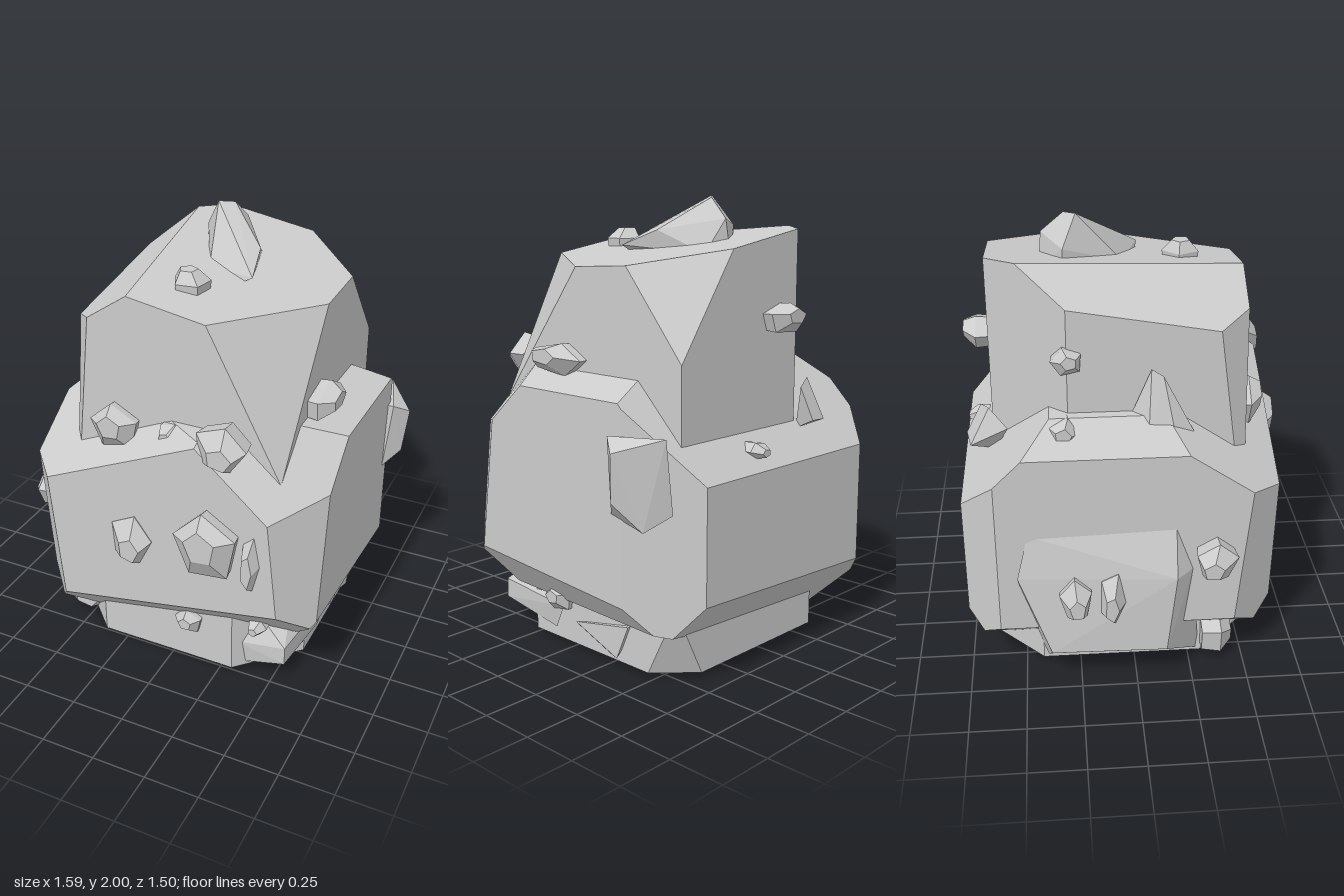
import * as THREE from 'three';
import { ConvexGeometry } from 'three/addons/geometries/ConvexGeometry.js';

const material = new THREE.MeshStandardMaterial({ color: 0xcccccc, flatShading: true });

// Faceted rock spanned by a few corner points
function rock(name, corners) {
  const mesh = new THREE.Mesh(new ConvexGeometry(corners), material);
  mesh.name = name;
  return mesh;
}

// Box with its corners sliced off by planes a*x + b*y + c*z <= d
function cutBox(name, min, max, cuts) {
  const planes = cuts.map(([a, b, c, d]) => ({ n: new THREE.Vector3(a, b, c), d }));
  for (let k = 0; k < 3; k++) {
    planes.push({ n: new THREE.Vector3().setComponent(k, 1), d: max[k] });
    planes.push({ n: new THREE.Vector3().setComponent(k, -1), d: -min[k] });
  }
  const corners = [];
  const m = new THREE.Matrix3();
  for (let i = 0; i < planes.length; i++) {
    for (let j = i + 1; j < planes.length; j++) {
      for (let k = j + 1; k < planes.length; k++) {
        const [p, q, r] = [planes[i], planes[j], planes[k]];
        m.set(...p.n, ...q.n, ...r.n);
        if (Math.abs(m.determinant()) < 1e-4) continue;
        const point = new THREE.Vector3(p.d, q.d, r.d).applyMatrix3(m.invert());
        const inside = planes.every(({ n, d }) => n.dot(point) <= d + 1e-4);
        if (inside && corners.every(c => c.distanceTo(point) > 0.01)) corners.push(point);
      }
    }
  }
  return rock(name, corners);
}

// Small seeded generator for chip irregularity
function seeded(seed) {
  let s = seed * 7919 + 17;
  return () => (s = (s * 16807) % 2147483647) / 2147483647;
}

// Five-sided tapered chip: centre (u, v) and size (w, h) across the axis, tip at out
function chip(name, axis, [u, v, w, h, out], seed) {
  const rand = seeded(seed + 3);
  rand();
  const [uAxis, vAxis] = [[2, 1], [0, 2], [0, 1]][axis];
  const depth = 0.08 + 0.25 * Math.max(w, h);
  const turn = rand() * Math.PI;
  const leanU = (rand() - 0.5) * 0.25 * w;
  const leanV = (rand() - 0.5) * 0.25 * h;
  const points = [];
  for (const [sunk, radius, lean] of [[1, 0.47, 0], [0.4, 0.53, 0], [0, 0.26, 1]]) {
    for (let i = 0; i < 5; i++) {
      const a = turn + (i / 5) * Math.PI * 2;
      points.push(new THREE.Vector3()
        .setComponent(axis, out - Math.sign(out) * depth * sunk)
        .setComponent(uAxis, u + w * radius * Math.cos(a) + leanU * lean)
        .setComponent(vAxis, v + h * radius * Math.sin(a) + leanV * lean));
    }
  }
  return rock(name, points);
}

export function createModel() {
  const model = new THREE.Group();
  model.name = 'rockStack';
  const vec = (x, y, z) => new THREE.Vector3(x, y, z);

  // Thin foot
  model.add(rock('foot', [0, 0.04].flatMap(y => [
    vec(0.33, y, 0.31), vec(0.33, y, -0.33), vec(-0.1, y, -0.45), vec(-0.48, y, -0.4), vec(-0.53, y, 0),
  ])));

  // Base boulder with cut corners, and the slab bulging from it towards -x
  model.add(cutBox('baseBoulder', [-0.56, 0.02, -0.63], [0.57, 0.4, 0.51], [
    [1, 0, 1, 0.82], [-1, 0, 1, 0.87], [1, -0.5, -1, 1.03], [-1, 0, -1, 0.98],
  ]));
  model.add(rock('baseSlab', [
    vec(-0.54, 0.02, 0.3), vec(-0.54, 0.02, -0.4),
    vec(-0.75, 0.19, 0.13), vec(-0.74, 0.19, -0.38), vec(-0.75, 0.57, 0.17), vec(-0.7, 0.57, -0.52),
    vec(-0.67, 0.57, 0.25), vec(-0.67, 0.79, 0.17), vec(-0.67, 0.77, -0.47),
    vec(-0.3, 0.02, 0.3), vec(-0.3, 0.77, 0.1), vec(-0.3, 0.1, -0.5),
  ]));

  // Wide middle boulder
  model.add(cutBox('middleBoulder', [-0.675, 0.06, -0.75], [0.7, 1.26, 0.63], [
    // underside
    [0.19, -0.99, 1, 0.256], [1, -0.71, 0.05, 0.44], [0.16, -1, 0, -0.13],
    [0.04, -0.8, -1, 0.475], [-1, -1.2, 0, 0.334],
    // upright corners
    [-1, -0.08, 0.92, 1.057], [1, 0.11, 0.75, 1.096], [1, 0, -0.6, 0.97], [-1, 0, -0.86, 1.195],
    // sloping ledges
    [-0.45, 1, 0.69, 1.592], [0.875, 1, 0.875, 1.956], [0.35, 1, 0, 1.435],
    [0, 1, -1, 1.62], [-0.9, 1, 0, 1.743],
  ]));

  // Upper boulder: tilted top, slanted -x side, four cut corners
  model.add(cutBox('topBoulder', [-0.49, 0.95, -0.61], [0.52, 1.87, 0.49], [
    [0.165, 1, 0.054, 1.787], [-0.676, 1, 0.175, 2.004],
    [1, 0.522, 0.68, 1.412], [1, 0.696, -0.84, 1.965],
    [-1, 0.113, 0.82, 0.967], [-1, 0, -0.82, 0.72],
  ]));

  // Leaning peak stone
  model.add(rock('peakStone', [
    vec(-0.18, 1.8, -0.28), vec(-0.04, 1.75, -0.38), vec(0.07, 1.75, -0.33),
    vec(-0.18, 1.87, -0.28), vec(-0.1, 2, -0.22), vec(-0.04, 1.99, -0.27),
    vec(-0.02, 1.9, -0.37), vec(0.15, 1.85, -0.12), vec(0.19, 1.78, 0.06),
    vec(0.12, 1.74, 0.05), vec(-0.05, 1.77, -0.02),
  ]));

  // Broken lump and shard low on the +x side
  model.add(rock('baseLump', [
    vec(0.31, 0.15, 0.47), vec(0.42, 0.29, 0.42), vec(0.56, 0.2, 0.48), vec(0.56, 0.11, 0.48),
    vec(0.36, 0.04, 0.46), vec(0.6, 0.19, 0.03), vec(0.58, 0.07, 0.1), vec(0.5, 0.3, 0.25),
  ]));
  model.add(rock('baseShard', [
    vec(0.58, 0.13, -0.03), vec(0.59, 0.2, -0.37), vec(0.59, 0.04, -0.3),
    vec(0.5, 0.04, -0.03), vec(0.5, 0.2, -0.35),
  ]));

  // Large crystal on the cut back corner
  model.add(rock('cornerCrystal', [
    vec(0.65, 1.07, -0.65), vec(0.79, 1.01, -0.48), vec(0.73, 1.06, -0.4),
    vec(0.77, 0.8, -0.46), vec(0.7, 0.73, -0.39), vec(0.69, 0.68, -0.56),
    vec(0.6, 0.75, -0.64), vec(0.5, 1, -0.5),
  ]));

  // Plate lying on the back ledge
  model.add(rock('backLedgePlate', [
    vec(-0.31, 1.02, -0.71), vec(-0.2, 1.03, -0.73), vec(-0.2, 1.17, -0.66),
    vec(-0.3, 1.2, -0.62), vec(-0.37, 1.13, -0.54), vec(-0.25, 0.97, -0.6),
  ]));

  // Tall splinter leaning on the -x side of the upper boulder
  model.add(rock('sideSplinter', [
    vec(-0.6, 1.1, 0.05), vec(-0.6, 1.12, 0.18), vec(-0.54, 1.14, 0.27),
    vec(-0.48, 1.1, -0.07), vec(-0.51, 1.46, 0.07), vec(-0.52, 1.43, 0.12), vec(-0.45, 1.1, 0.2),
  ]));

  // Chips scattered over each side
  const addChips = (name, axis, list) =>
    list.forEach((spec, i) => model.add(chip(name, axis, spec, axis * 10 + i)));

  addChips('topChip', 1, [[-0.01, 0.24, 0.16, 0.16, 1.85]]);
  addChips('frontChip', 2, [
    [0.26, 0.8, 0.29, 0.32, 0.75], [0.45, 0.76, 0.1, 0.34, 0.67], [-0.13, 0.7, 0.2, 0.24, 0.69],
  ]);
  addChips('frontLedgeChip', 2, [
    [-0.25, 1.18, 0.23, 0.22, 0.58], [0.02, 1.22, 0.11, 0.08, 0.56], [0.29, 1.25, 0.23, 0.2, 0.66],
  ]);
  addChips('baseFrontChip', 2, [
    [0.1, 0.24, 0.13, 0.12, 0.58], [0.43, 0.3, 0.09, 0.08, 0.54], [-0.53, 0.13, 0.26, 0.19, 0.45],
  ]);
  addChips('backChip', 2, [
    [-0.09, 1.48, 0.23, 0.13, -0.72], [0.14, 0.95, 0.1, 0.07, -0.74],
  ]);
  addChips('leftChip', 0, [
    [0.09, 1.3, 0.3, 0.14, 0.63], [0.07, 0.22, 0.16, 0.12, 0.64],
  ]);
  addChips('rightChip', 0, [
    [-0.28, 1.5, 0.13, 0.12, -0.55], [-0.3, 1.19, 0.14, 0.15, -0.61],
    [0.34, 0.65, 0.18, 0.17, -0.8], [-0.27, 0.48, 0.14, 0.2, -0.8], [-0.11, 0.47, 0.12, 0.26, -0.79],
  ]);

  return model;
}
